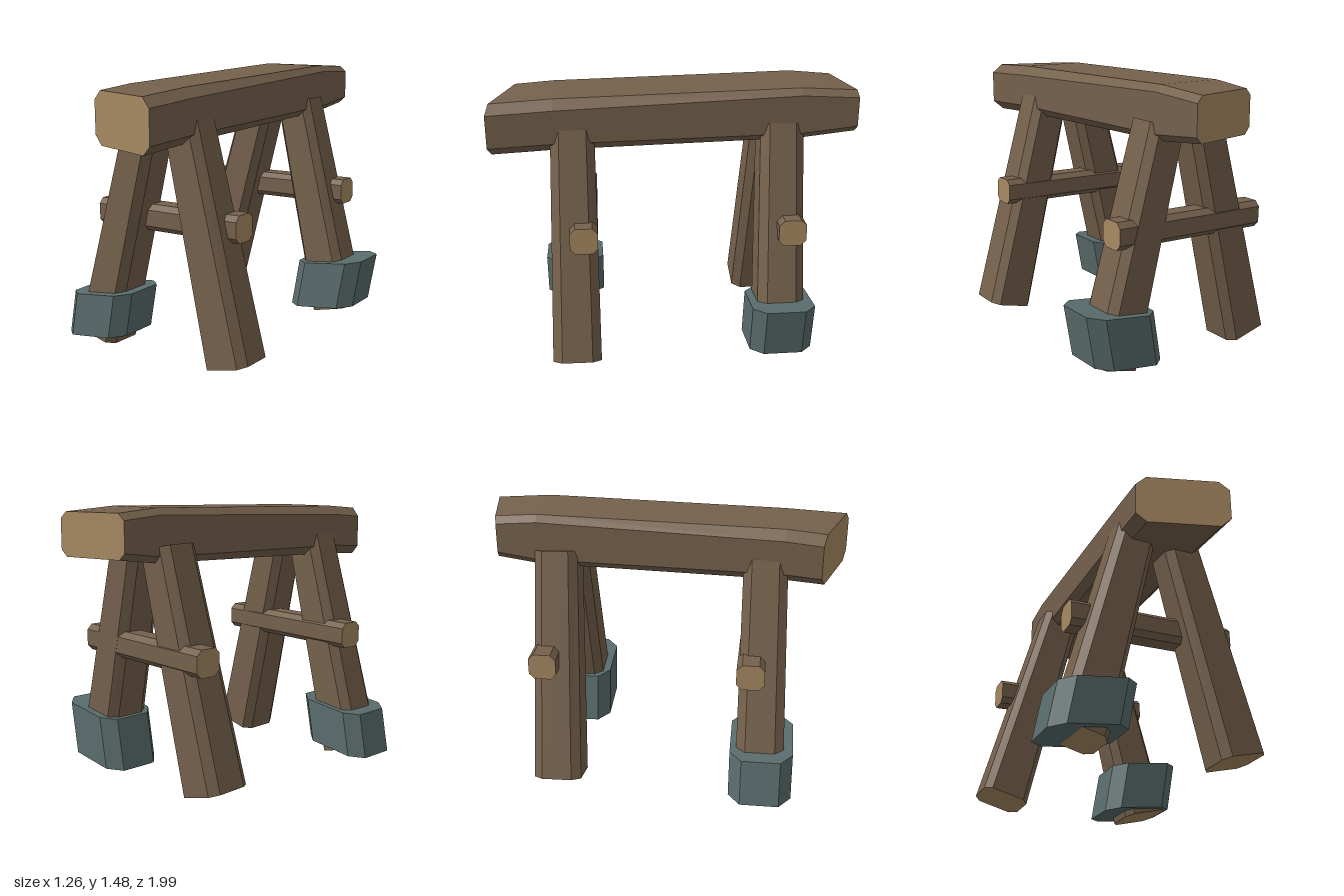
import * as THREE from 'three';

const V = (x, y, z) => new THREE.Vector3(x, y, z);

const wood = new THREE.MeshStandardMaterial({ color: 0x75614c });
wood.name = 'wood';
const endGrain = new THREE.MeshStandardMaterial({ color: 0xa78962 });
endGrain.name = 'endGrain';
const cloth = new THREE.MeshStandardMaterial({ color: 0x5a6c6c });
cloth.name = 'footWrap';

// Chamfered rectangle (8 corners) spanned by u and v around a centre
function ring(centre, u, v, hu, hv, cu, cv = cu) {
  return [
    [hu, -hv + cv], [hu, hv - cv], [hu - cu, hv], [-hu + cu, hv],
    [-hu, hv - cv], [-hu, -hv + cv], [-hu + cu, -hv], [hu - cu, -hv],
  ].map(([a, b]) => centre.clone().addScaledVector(u, a).addScaledVector(v, b));
}

// Faceted loft through the rings; group 0 is the sides, group 1 the two ends
function loft(name, rings, materials) {
  const pos = [];
  const tri = (...pts) => pts.forEach((p) => pos.push(p.x, p.y, p.z));
  const n = rings[0].length;
  for (let r = 0; r < rings.length - 1; r++) {
    const a = rings[r], b = rings[r + 1];
    for (let i = 0; i < n; i++) {
      const j = (i + 1) % n;
      tri(a[i], a[j], b[j]);
      tri(a[i], b[j], b[i]);
    }
  }
  const sideCount = pos.length / 3;
  const first = rings[0], last = rings[rings.length - 1];
  for (let i = 1; i < n - 1; i++) {
    tri(first[0], first[i + 1], first[i]);
    tri(last[0], last[i], last[i + 1]);
  }
  const geo = new THREE.BufferGeometry();
  geo.setAttribute('position', new THREE.Float32BufferAttribute(pos, 3));
  geo.addGroup(0, sideCount, 0);
  geo.addGroup(sideCount, pos.length / 3 - sideCount, 1);
  geo.computeVertexNormals();
  const mesh = new THREE.Mesh(geo, materials);
  mesh.name = name;
  return mesh;
}

// Straight tapered timber from a to b, cut square at both ends
function timber(name, a, b, ref, sizeA, sizeB) {
  const d = b.clone().sub(a).normalize();
  const u = ref.clone().addScaledVector(d, -ref.dot(d)).normalize();
  const v = d.clone().cross(u);
  return loft(name, [ring(a, u, v, ...sizeA), ring(b, u, v, ...sizeB)], [wood, endGrain]);
}

export function createModel() {
  const group = new THREE.Group();
  const X = V(1, 0, 0), Y = V(0, 1, 0);

  // Top beam: x0, x1, y0, y1, z at x = 0, slant of the cut
  const sections = [
    [-0.19, 0.22, 1.24, 1.47, -0.953, -0.21],
    [-0.2, 0.225, 1.21, 1.49, -0.69, 0],
    [-0.235, 0.233, 1.18, 1.463, 0.64, 0],
    [-0.245, 0.235, 1.165, 1.445, 0.919, 0.323],
  ];
  group.add(loft('topBeam', sections.map(([x0, x1, y0, y1, z, slant], i) => {
    const c = V((x0 + x1) / 2, (y0 + y1) / 2, z);
    const pts = ring(c, X, Y, (x1 - x0) / 2, (y1 - y0) / 2, i < 2 ? 0.035 : 0.055, i < 2 ? 0.035 : 0.05);
    pts.forEach((p) => { p.z += slant * p.x; });
    return pts;
  }), [wood, endGrain]));

  // Four splayed legs: side, bottom x, bottom z, top z
  const legs = [
    ['frontLeftLeg', 1, 0.435, 0.565, 0.545],
    ['frontRightLeg', -1, 0.443, 0.565, 0.545],
    ['backLeftLeg', 1, 0.435, -0.565, -0.585],
    ['backRightLeg', -1, 0.453, -0.562, -0.585],
  ];
  for (const [name, s, x, zBottom, zTop] of legs) {
    group.add(timber(name, V(s * x, 0.045, zBottom), V(s * 0.125, 1.28, zTop), X,
      [0.131, 0.133, 0.036, 0.05], [0.11, 0.117, 0.036, 0.045]));
  }

  // Cross rails between each pair of legs
  const size = [0.073, 0.075, 0.029];
  group.add(timber('frontRail', V(-0.48, 0.733, 0.493), V(0.443, 0.752, 0.505), Y, size, size));
  group.add(timber('backRail', V(-0.48, 0.733, -0.63), V(0.443, 0.752, -0.622), Y, size, size));

  // Skewed wraps round two diagonally opposite feet
  const u = V(0.992, 0.131, 0), v = V(0, 0, 1).negate();
  const wraps = [
    ['frontRightFootWrap', V(-0.425, 0.058, 0.569), V(-0.378, 0.308, 0.569)],
    ['backLeftFootWrap', V(0.373, 0.058, -0.569), V(0.422, 0.343, -0.569)],
  ];
  for (const [name, a, b] of wraps) {
    group.add(loft(name, [ring(a, u, v, 0.21, 0.172, 0.075, 0.066), ring(b, u, v, 0.21, 0.172, 0.075, 0.066)],
      [cloth, cloth]));
  }
  return group;
}
